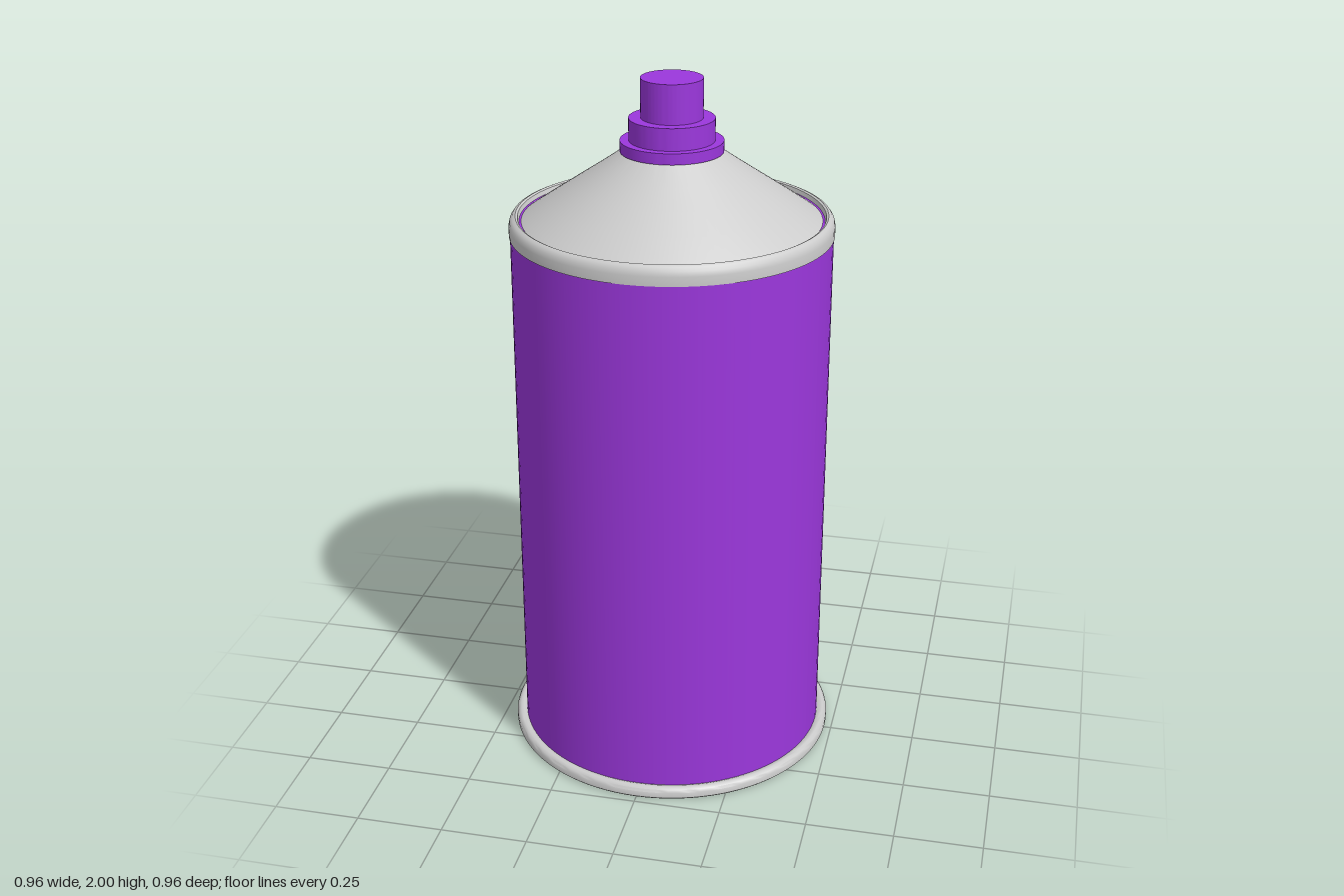
import * as THREE from 'three';
import { toCreasedNormals } from 'three/addons/utils/BufferGeometryUtils.js';

const SEGMENTS = 96;

export function createModel() {
  const model = new THREE.Group();
  const purple = new THREE.MeshStandardMaterial({ color: 0x9b37dc });
  const grey = new THREE.MeshStandardMaterial({ color: 0xcccccc });

  // Turns a [radius, height] profile, listed from bottom to top on the outside
  function turn(name, material, profile) {
    const points = profile.map(([r, y]) => new THREE.Vector2(r, y));
    const geometry = toCreasedNormals(new THREE.LatheGeometry(points, SEGMENTS), 0.7);
    const mesh = new THREE.Mesh(geometry, material);
    mesh.name = name;
    model.add(mesh);
  }

  // Can body with its flat underside
  turn('underside', purple, [[0, 0], [0.475, 0]]);
  turn('body', purple, [[0.45, 0.02], [0.45, 1.575]]);

  // Rolled seam around the foot
  turn('baseRim', grey, [
    [0.475, 0], [0.48, 0.005], [0.48, 0.022], [0.476, 0.03],
    [0.468, 0.035], [0.46, 0.035], [0.45, 0.03],
  ]);

  // Rolled seam around the shoulder, dropping to a narrow groove inside
  turn('topRim', grey, [
    [0.449, 1.565], [0.453, 1.566], [0.453, 1.592], [0.45, 1.606],
    [0.443, 1.616], [0.434, 1.62], [0.428, 1.617], [0.424, 1.605],
  ]);
  turn('groove', purple, [[0.426, 1.605], [0.41, 1.605]]);

  // Sloping shoulder
  turn('shoulder', grey, [
    [0.418, 1.605], [0.4, 1.618], [0.34, 1.659], [0.27, 1.706],
    [0.2, 1.753], [0.13, 1.802],
  ]);

  // Stepped valve and spray button
  turn('valveCollar', purple, [[0, 1.797], [0.143, 1.797], [0.143, 1.828], [0.11, 1.828]]);
  turn('valveStep', purple, [[0.119, 1.826], [0.119, 1.89], [0.08, 1.89]]);
  turn('sprayButton', purple, [[0.086, 1.888], [0.086, 2], [0, 2]]);

  return model;
}
